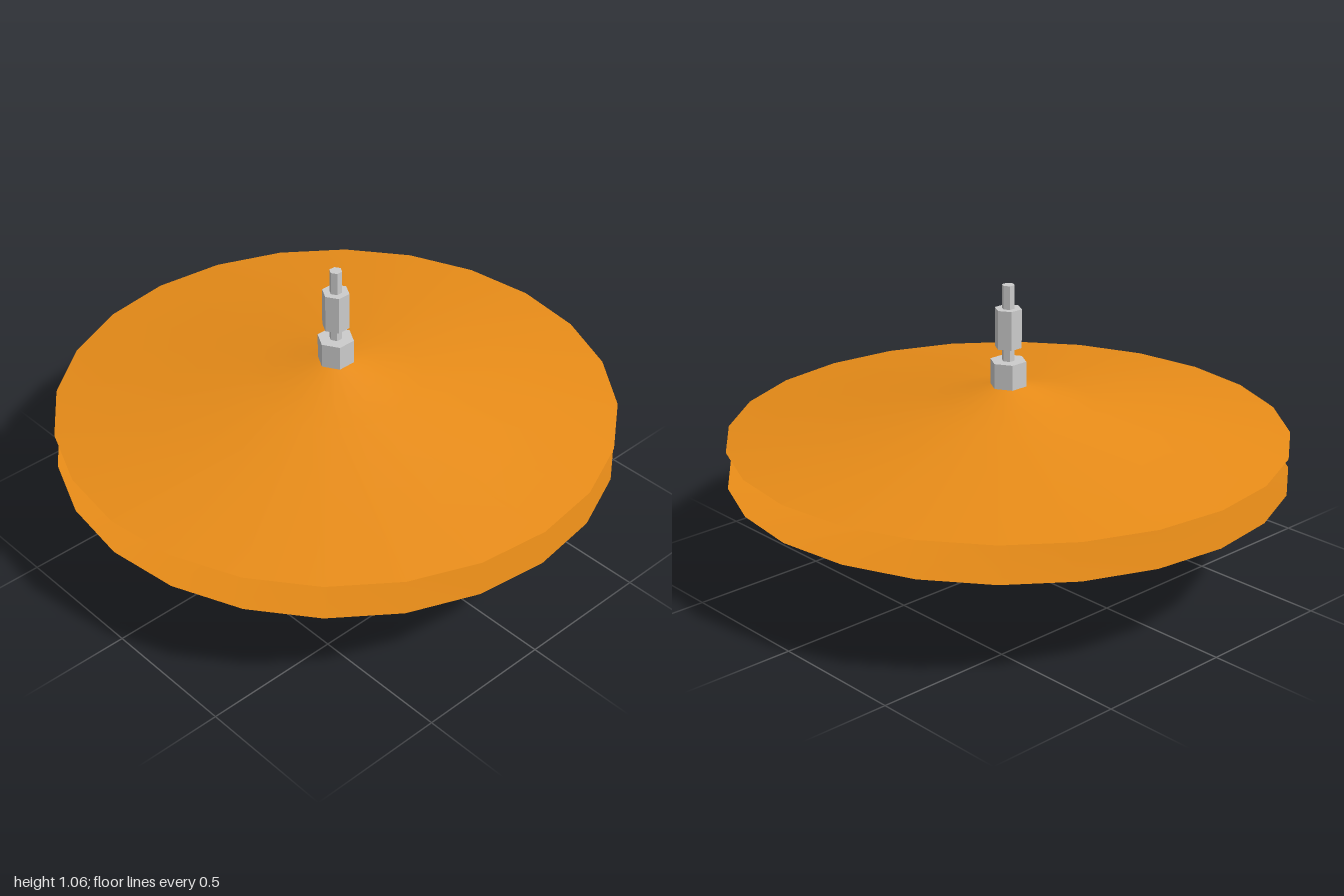
import * as THREE from 'three';

const metal = new THREE.MeshStandardMaterial({ color: 0xcccccc, flatShading: true });
const brass = new THREE.MeshStandardMaterial({ color: 0xe88c18, side: THREE.DoubleSide });

// Six-sided bar around the y axis, corners on +x and -x
function hexBar(name, radius, bottom, top) {
  const geometry = new THREE.CylinderGeometry(radius, radius, top - bottom, 6, 1, false, Math.PI / 6);
  const mesh = new THREE.Mesh(geometry, metal);
  mesh.name = name;
  mesh.position.y = (bottom + top) / 2;
  return mesh;
}

// Thin cymbal shell: rim at y = rimY, bell rising (direction 1) or falling (-1)
function cymbal(name, rimY, direction) {
  const profile = [[1, 0], [0.31, 0.097], [0.07, 0.166], [0.02, 0.169]]
    .map(([r, h]) => new THREE.Vector2(r, rimY + direction * h));
  if (direction < 0) profile.reverse();
  const mesh = new THREE.Mesh(new THREE.LatheGeometry(profile, 24), brass);
  mesh.name = name;
  return mesh;
}

export function createModel() {
  const model = new THREE.Group();
  model.name = 'hiHatCymbals';

  // Facing pair of cymbals
  model.add(cymbal('topCymbal', 0.527, 1), cymbal('bottomCymbal', 0.393, -1));

  // Rod with the clutch and its nut
  model.add(
    hexBar('rod', 0.023, 0, 1.062),
    hexBar('clutchNut', 0.066, 0.695, 0.787),
    hexBar('clutchBody', 0.049, 0.836, 0.977),
  );
  return model;
}
